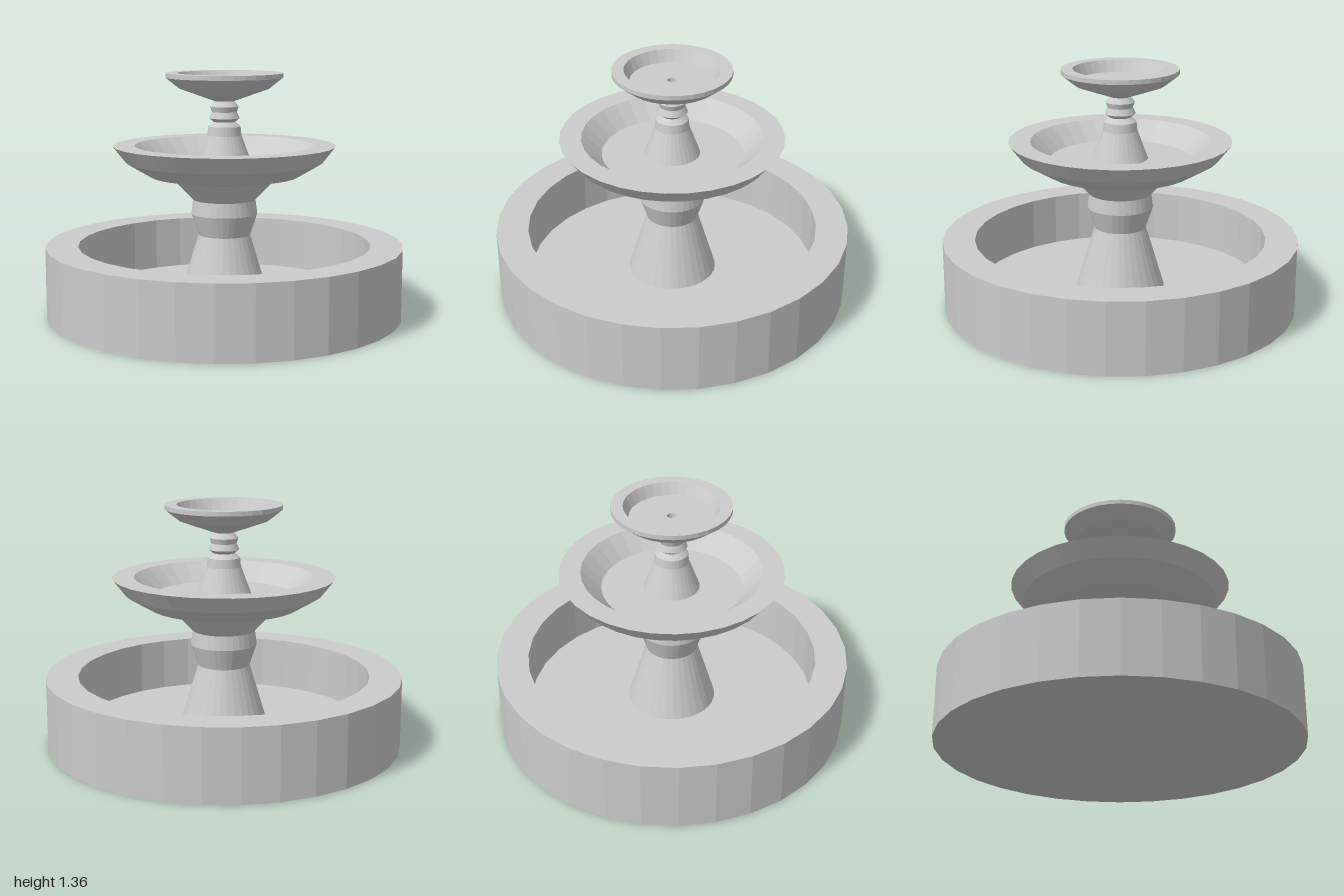
import * as THREE from 'three';

const SIDES = 32;

export function createModel() {
  const fountain = new THREE.Group();
  fountain.name = 'fountain';
  const stone = new THREE.MeshStandardMaterial({ color: 0xcccccc, flatShading: true });

  // Spins a [radius, height] outline around the vertical axis
  function turned(name, outline) {
    const points = outline.map(([r, y]) => new THREE.Vector2(r, y));
    const mesh = new THREE.Mesh(new THREE.LatheGeometry(points, SIDES), stone);
    mesh.name = name;
    fountain.add(mesh);
  }

  // Round pool: underside, outer wall, rim, inner wall, floor
  turned('pool', [[0, 0], [1, 0], [1, 0.4], [0.82, 0.4], [0.82, 0.1], [0.25, 0.1]]);

  // Lower pedestal: flared foot and banded collar
  turned('lowerPedestal', [[0.25, 0.1], [0.16, 0.4], [0.145, 0.45], [0.185, 0.57], [0.175, 0.65]]);

  // Large bowl: flared underside, flat rim, sloping inside, floor
  turned('largeBowl', [
    [0.175, 0.65], [0.28, 0.76], [0.415, 0.785], [0.55, 0.865], [0.62, 0.955],
    [0.5, 0.955], [0.39, 0.85], [0.155, 0.85],
  ]);

  // Upper pedestal: conical foot, shoulder and two beads
  turned('upperPedestal', [
    [0.155, 0.85], [0.095, 1.01], [0.09, 1.06], [0.06, 1.085],
    [0.085, 1.105], [0.07, 1.14], [0.08, 1.17], [0.055, 1.2],
  ]);

  // Small bowl with a spout hole in its floor
  turned('smallBowl', [
    [0.055, 1.2], [0.25, 1.27], [0.325, 1.33], [0.325, 1.355],
    [0.26, 1.355], [0.23, 1.29], [0.025, 1.29], [0.025, 1.25], [0, 1.25],
  ]);

  return fountain;
}
